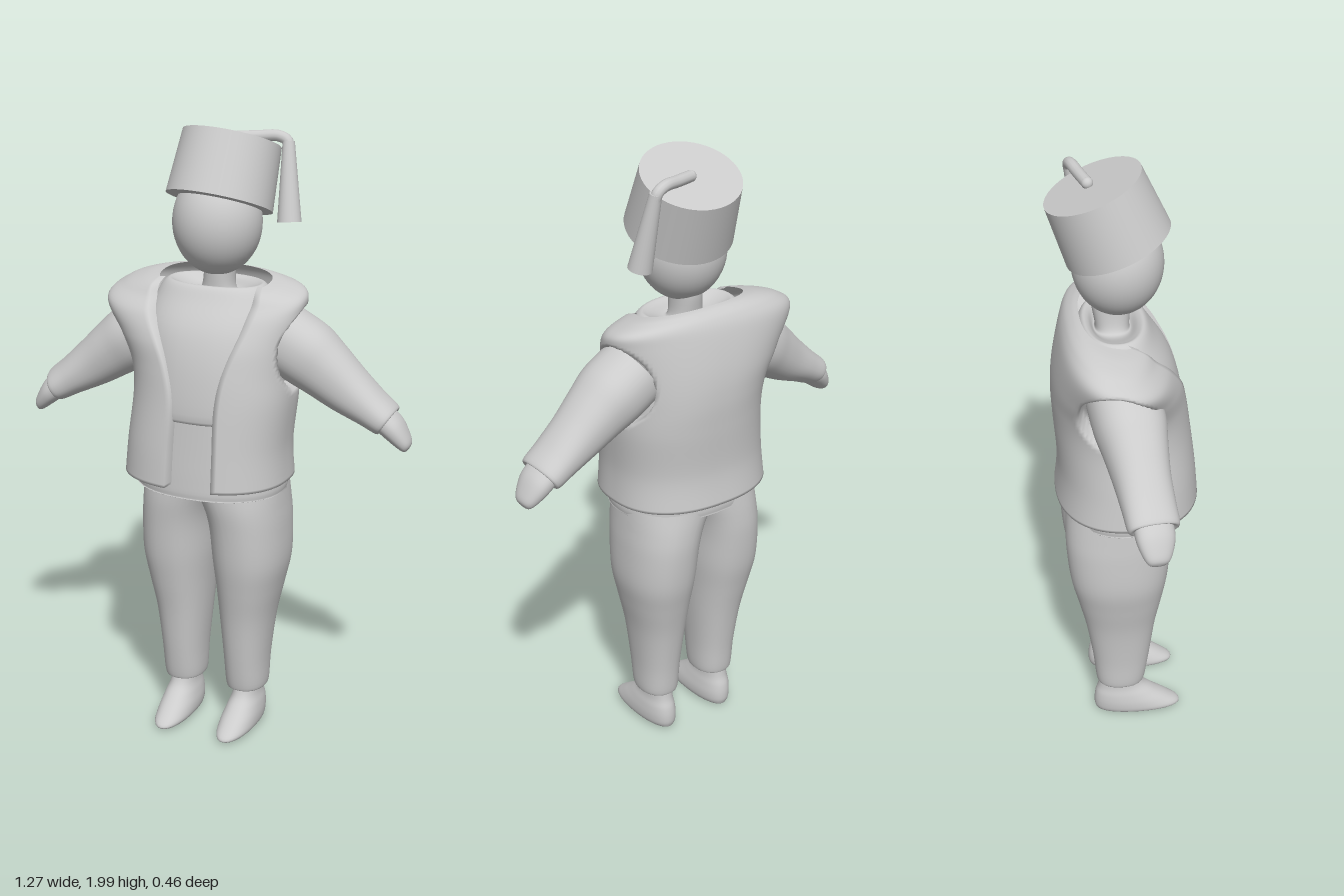
import * as THREE from 'three';

const material = new THREE.MeshStandardMaterial({ color: 0xcccccc, side: THREE.DoubleSide });

// Smooth in-between rows through a list of cross-section rows
function refine(rows, steps) {
  const out = [];
  for (let i = 0; i < rows.length - 1; i++) {
    const a = rows[Math.max(i - 1, 0)], b = rows[i], c = rows[i + 1], d = rows[Math.min(i + 2, rows.length - 1)];
    for (let s = 0; s < steps; s++) {
      const t = s / steps;
      out.push(b.map((v, k) => v + 0.5 * t * (c[k] - a[k] + t * (2 * a[k] - 5 * v + 4 * c[k] - d[k] + t * (3 * (v - c[k]) + d[k] - a[k])))));
    }
  }
  out.push(rows[rows.length - 1]);
  return out;
}

const bend = (v, p) => Math.sign(v) * Math.abs(v) ** p;

// Point on a rounded section; row = [y, xMin, xMax, zMin, zMax]
function sectionPoint([y, x0, x1, z0, z1], angle, p) {
  return [(x0 + x1) / 2 + (x1 - x0) / 2 * bend(Math.sin(angle), p), y,
    (z0 + z1) / 2 + (z1 - z0) / 2 * bend(Math.cos(angle), p)];
}

// Grid of points to a smooth surface; a closed grid wraps around
function skin(name, grid, closed) {
  const n = grid[0].length, index = [];
  for (let i = 0; i < grid.length - 1; i++) {
    for (let j = 0; j < (closed ? n : n - 1); j++) {
      const k = (j + 1) % n, a = i * n + j, b = i * n + k;
      index.push(a, b, b + n, a, b + n, a + n);
    }
  }
  const geometry = new THREE.BufferGeometry();
  geometry.setAttribute('position', new THREE.Float32BufferAttribute(grid.flat(2), 3));
  geometry.setIndex(index);
  geometry.computeVertexNormals();
  return named(name, geometry);
}

function named(name, geometry) {
  const mesh = new THREE.Mesh(geometry, material);
  mesh.name = name;
  return mesh;
}

function loft(name, rows, p = 0.9, steps = 5, n = 40) {
  const grid = refine(rows, steps).map((row) =>
    Array.from({ length: n }, (_, j) => sectionPoint(row, j / n * Math.PI * 2, p)));
  return skin(name, grid, true);
}

// Open vest: rows carry the two front edges as extra values
function makeVest() {
  const p = 0.85, n = 90;
  const rows = refine([
    [0.885, -0.285, 0.255, -0.215, 0.24, -0.07, 0.085],
    [1.0, -0.275, 0.25, -0.205, 0.23, -0.067, 0.085],
    [1.15, -0.262, 0.262, -0.215, 0.212, -0.063, 0.085],
    [1.25, -0.275, 0.262, -0.22, 0.198, -0.085, 0.1],
    [1.34, -0.325, 0.27, -0.215, 0.178, -0.125, 0.13],
    [1.43, -0.378, 0.285, -0.195, 0.14, -0.17, 0.155],
    [1.475, -0.33, 0.28, -0.175, 0.1, -0.19, 0.165],
    [1.5, -0.26, 0.22, -0.15, 0.085, -0.195, 0.165],
    [1.51, -0.2, 0.17, -0.13, 0.07, -0.19, 0.16],
  ], 8);
  const makeRow = (row, hem) => {
    const cx = (row[1] + row[2]) / 2, hx = (row[2] - row[1]) / 2, cz = (row[3] + row[4]) / 2;
    const edge = (x) => Math.asin(Math.min(0.97, Math.abs(x - cx) / hx) ** (1 / p));
    const start = edge(row[6]), end = Math.PI * 2 - edge(row[5]);
    const line = Array.from({ length: n + 1 }, (_, j) => {
      const q = sectionPoint(row, start + (end - start) * j / n, p);
      // sunken armholes
      const e = Math.hypot((q[1] - 1.31) / 0.135, (q[2] + 0.04) / 0.12);
      if (Math.abs(q[0] - cx) > 0.15) q[0] -= Math.sign(q[0] - cx) * 0.07 * (1 - THREE.MathUtils.smoothstep(e, 0.78, 1));
      // the neckline rises towards the back
      q[1] -= 0.2 * (q[2] + 0.03) * THREE.MathUtils.smoothstep(q[1], 1.3, 1.5);
      return q;
    });
    // turned-in front edges and hem give the cloth its thickness
    const inward = ([x, y, z]) => [cx + (x - cx) * 0.9, y, cz + (z - cz) * 0.82];
    const full = [inward(line[0]), ...line, inward(line[n])];
    return hem ? full.map(inward) : full;
  };
  return skin('vest', [makeRow(rows[0], true), ...rows.map((r) => makeRow(r, false))], false);
}

// Sleeve and mitten hand along local y, aimed from shoulder to wrist
function makeArm(name, side, rootZ, wristZ) {
  const arm = new THREE.Group();
  arm.name = name;
  arm.add(loft('sleeve', [
    [0, -0.1, 0.11, -0.11, 0.11],
    [0.1, -0.095, 0.115, -0.11, 0.11],
    [0.18, -0.087, 0.1, -0.098, 0.098],
    [0.27, -0.079, 0.078, -0.087, 0.087],
    [0.36, -0.063, 0.058, -0.083, 0.083],
    [0.425, -0.053, 0.047, -0.08, 0.08],
    [0.428, -0.04, 0.035, -0.06, 0.06],
  ]), loft('hand', [
    [0.41, -0.046, 0.036, -0.062, 0.062],
    [0.46, -0.049, 0.026, -0.06, 0.06],
    [0.505, -0.052, 0.002, -0.045, 0.045],
    [0.527, -0.05, -0.016, -0.028, 0.028],
    [0.532, -0.035, -0.035, 0, 0],
  ]));
  arm.position.set(-0.2, 1.34, rootZ);
  arm.quaternion.setFromUnitVectors(new THREE.Vector3(0, 1, 0),
    new THREE.Vector3(-0.36, -0.232, wristZ - rootZ).normalize());
  const holder = new THREE.Group();
  holder.name = name + 'Side';
  holder.scale.x = side;
  holder.add(arm);
  return holder;
}

// Trouser leg and foot, modelled on the right and mirrored
function makeLeg(name, side) {
  const leg = new THREE.Group();
  leg.name = name;
  leg.add(loft('trouserLeg', [
    [0.87, -0.235, 0.08, -0.185, 0.155],
    [0.8, -0.24, 0.03, -0.19, 0.155],
    [0.72, -0.245, 0.004, -0.19, 0.148],
    [0.6, -0.245, -0.008, -0.178, 0.137],
    [0.5, -0.226, -0.02, -0.155, 0.12],
    [0.39, -0.203, -0.03, -0.13, 0.1],
    [0.25, -0.187, -0.042, -0.107, 0.082],
    [0.15, -0.181, -0.048, -0.096, 0.067],
    [0.138, -0.17, -0.058, -0.086, 0.057],
    [0.145, -0.15, -0.08, -0.06, 0.03],
  ].reverse()), loft('foot', [
    [0, -0.115, -0.115, 0.03, 0.03],
    [0.002, -0.15, -0.078, -0.08, 0.165],
    [0.015, -0.17, -0.06, -0.1, 0.188],
    [0.045, -0.173, -0.058, -0.104, 0.15],
    [0.08, -0.168, -0.065, -0.1, 0.1],
    [0.115, -0.16, -0.073, -0.09, 0.062],
    [0.17, -0.158, -0.075, -0.085, 0.045],
  ]));
  leg.scale.x = side;
  if (side < 0) leg.position.x = -0.005;
  return leg;
}

// Tilted brimless hat with a cord and hanging tassel
function makeHat() {
  const hat = new THREE.Group();
  hat.name = 'hat';
  const crown = named('hatCrown', new THREE.CylinderGeometry(0.155, 0.168, 0.2, 48));
  crown.position.set(0.012, 1.843, -0.044);
  crown.rotation.set(-0.38, 0, -0.05);
  const cordPath = new THREE.CatmullRomCurve3([
    [0.03, 1.94, -0.095], [0.09, 1.943, -0.115], [0.15, 1.945, -0.133], [0.178, 1.93, -0.137], [0.186, 1.88, -0.127],
  ].map((v) => new THREE.Vector3(...v)));
  const knob = named('cordEnd', new THREE.SphereGeometry(0.018, 16, 12));
  knob.position.set(0.03, 1.94, -0.095);
  const top = new THREE.Vector3(0.182, 1.93, -0.135), foot = new THREE.Vector3(0.207, 1.69, -0.088);
  const tassel = named('tassel', new THREE.CylinderGeometry(0.019, 0.038, top.distanceTo(foot), 24));
  tassel.position.lerpVectors(top, foot, 0.5);
  tassel.quaternion.setFromUnitVectors(new THREE.Vector3(0, 1, 0), top.clone().sub(foot).normalize());
  hat.add(crown, named('tasselCord', new THREE.TubeGeometry(cordPath, 24, 0.018, 12)), knob, tassel);
  return hat;
}

export function createModel() {
  const model = new THREE.Group();
  model.name = 'figure';

  const head = named('head', new THREE.SphereGeometry(1, 40, 28));
  head.scale.set(0.14, 0.165, 0.14);
  head.position.set(0, 1.69, -0.01);

  // shirt with a shallow collar bowl rising into the neck
  const shirt = loft('shirtAndNeck', [
    [1.1, -0.2, 0.19, -0.15, 0.17],
    [1.102, -0.23, 0.22, -0.18, 0.2],
    [1.25, -0.23, 0.22, -0.18, 0.187],
    [1.37, -0.23, 0.21, -0.17, 0.155],
    [1.46, -0.2, 0.18, -0.14, 0.1],
    [1.5, -0.17, 0.15, -0.12, 0.072],
    [1.495, -0.145, 0.125, -0.1, 0.05],
    [1.472, -0.08, 0.07, -0.085, 0.03],
    [1.485, -0.055, 0.05, -0.08, 0.025],
    [1.55, -0.045, 0.045, -0.09, 0.03],
    [1.6, -0.045, 0.045, -0.09, 0.03],
  ]);
  const waistband = loft('waistband', [
    [0.85, 0, 0, 0, 0],
    [0.846, -0.23, 0.21, -0.17, 0.18],
    [0.848, -0.255, 0.235, -0.19, 0.198],
    [0.9, -0.255, 0.235, -0.19, 0.198],
    [1.0, -0.25, 0.235, -0.18, 0.192],
    [1.12, -0.22, 0.22, -0.17, 0.185],
  ]);

  model.add(head, makeHat(), shirt, makeVest(), waistband,
    makeArm('rightArm', 1, -0.02, 0.04), makeArm('leftArm', -1, -0.04, -0.06),
    makeLeg('rightLeg', 1), makeLeg('leftLeg', -1));
  return model;
}
